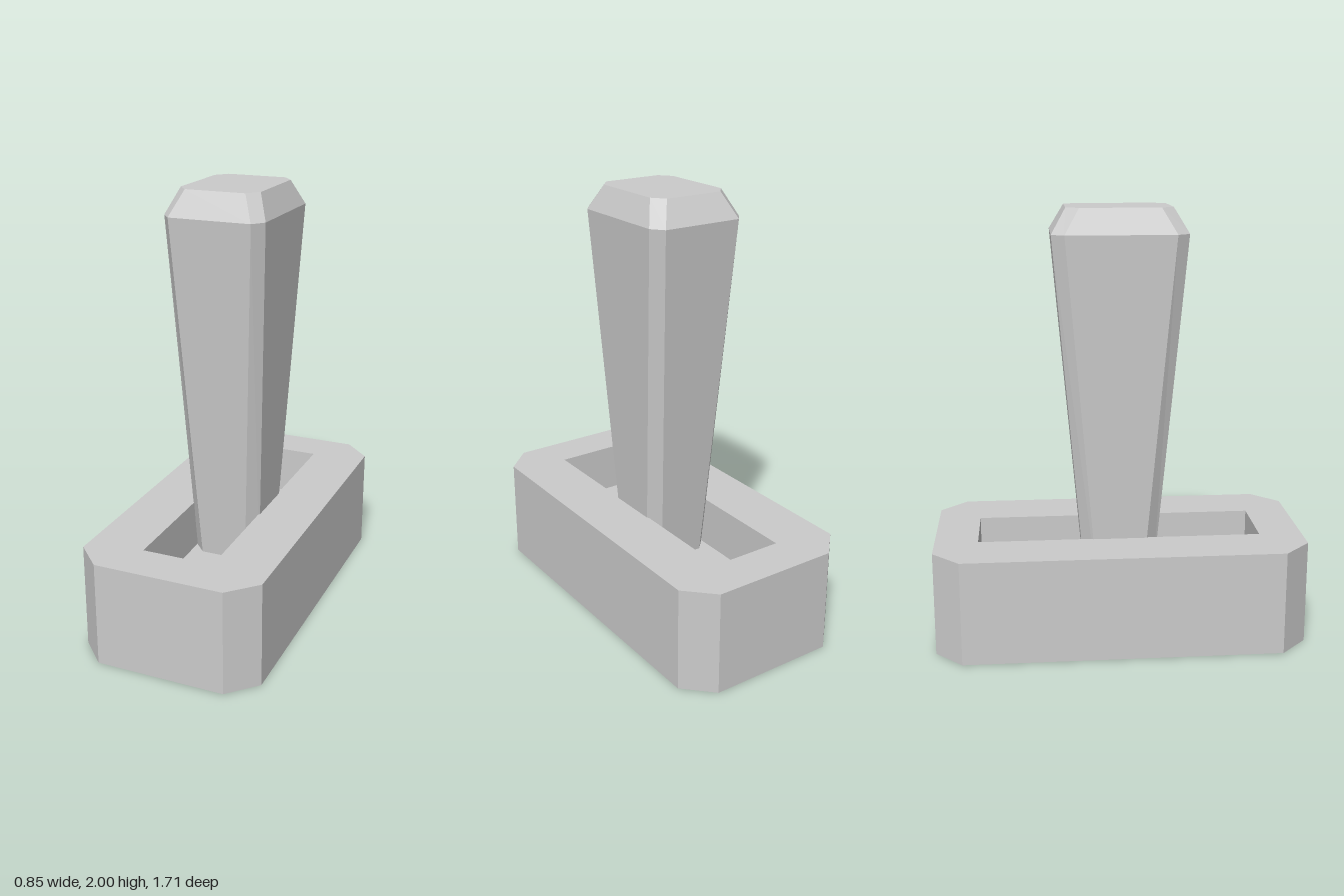
import * as THREE from 'three';

// Chamfered rectangle at height y: half sizes hx, hz and corner cuts cx, cz
function ring([y, hx, hz, cx, cz]) {
  return [
    [hx, hz - cz], [hx - cx, hz], [cx - hx, hz], [-hx, hz - cz],
    [-hx, cz - hz], [cx - hx, -hz], [hx - cx, -hz], [hx, cz - hz],
  ].map(([x, z]) => new THREE.Vector3(x, y, z));
}

// Join successive rings with flat faces and close both ends
function loft(name, levels, material) {
  const rings = levels.map(ring);
  const positions = [];
  const tri = (a, b, c) => {
    if (new THREE.Triangle(a, b, c).getArea() < 1e-7) return;
    for (const p of [a, b, c]) positions.push(p.x, p.y, p.z);
  };
  const last = rings.length - 1;
  const bottom = new THREE.Vector3(0, levels[0][0], 0);
  const top = new THREE.Vector3(0, levels[last][0], 0);
  for (let i = 0; i < 8; i++) {
    const j = (i + 1) % 8;
    tri(rings[0][i], rings[0][j], bottom);
    for (let k = 0; k < last; k++) {
      tri(rings[k][i], rings[k + 1][i], rings[k + 1][j]);
      tri(rings[k][i], rings[k + 1][j], rings[k][j]);
    }
    tri(rings[last][i], top, rings[last][j]);
  }
  const geometry = new THREE.BufferGeometry();
  geometry.setAttribute('position', new THREE.Float32BufferAttribute(positions, 3));
  geometry.computeVertexNormals();
  const mesh = new THREE.Mesh(geometry, material);
  mesh.name = name;
  return mesh;
}

export function createModel() {
  const model = new THREE.Group();
  model.name = 'leverSwitch';
  const grey = new THREE.MeshStandardMaterial({ color: 0xcccccc, flatShading: true });

  // Base block: outer walls, rim, then down into the rectangular slot
  model.add(loft('base', [
    [0, 0.425, 0.857, 0.125, 0.125],
    [0.487, 0.425, 0.857, 0.125, 0.125],
    [0.487, 0.166, 0.657, 0, 0],
    [0.25, 0.166, 0.657, 0, 0],
  ], grey));

  // Lever: widens upward and ends in a bevelled cap
  model.add(loft('lever', [
    [0.24, 0.161, 0.159, 0.051, 0.055],
    [1.887, 0.234, 0.302, 0.044, 0.057],
    [2, 0.185, 0.236, 0.046, 0.057],
  ], grey));

  return model;
}
